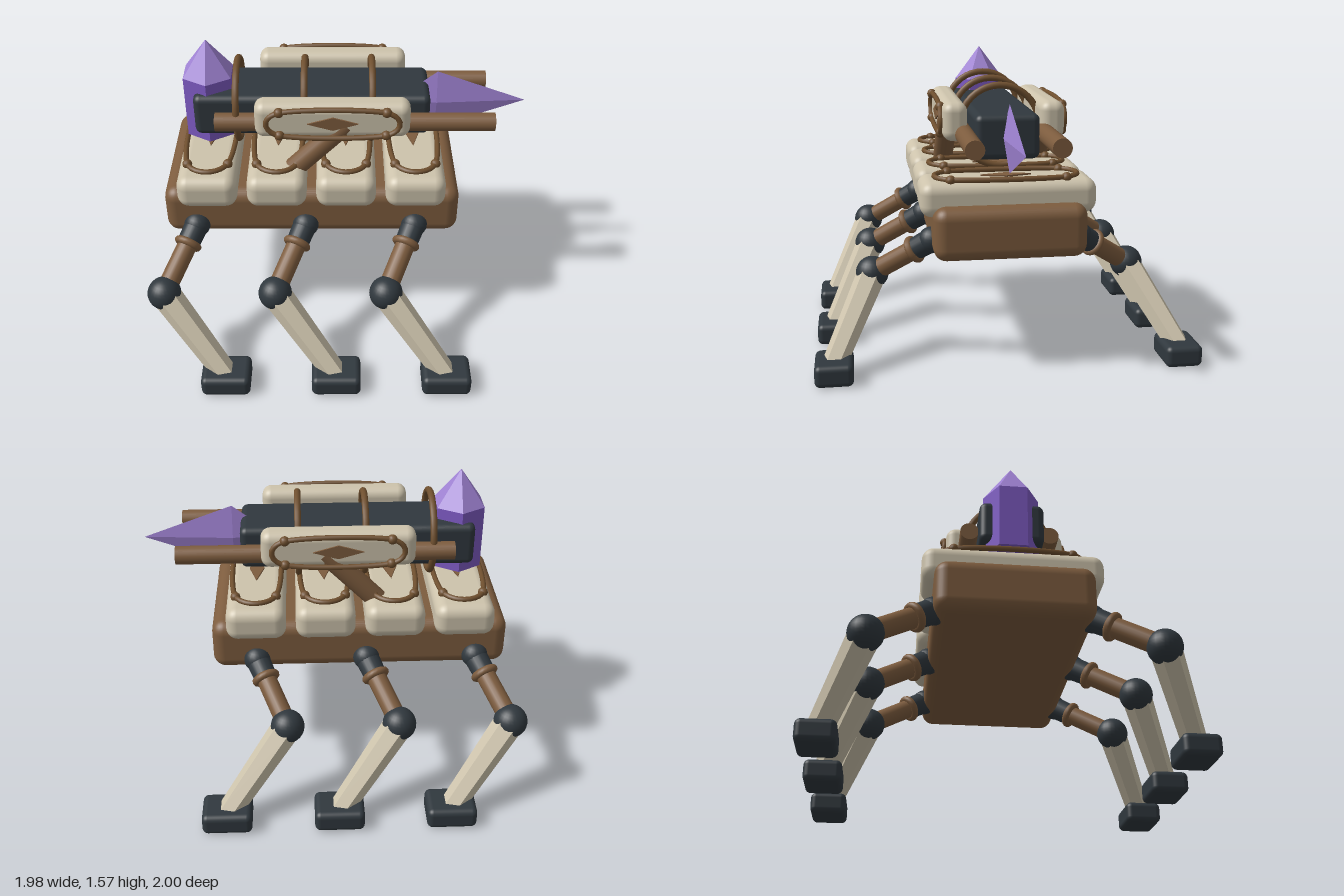
import * as THREE from 'three';
import { RoundedBoxGeometry } from 'three/addons/geometries/RoundedBoxGeometry.js';

const mat = (name, color, flatShading = false) => {
  const m = new THREE.MeshStandardMaterial({ color, flatShading });
  m.name = name;
  return m;
};

export function createModel() {
  const brown = mat('wood brown', 0x7d5c3e);
  const trim = mat('trim brown', 0x70502f);
  const cream = mat('cream', 0xcdc3ac);
  const creamFlat = mat('faceted cream', 0xcdc3ac, true);
  const dark = mat('dark slate', 0x30383e);
  const violet = mat('crystal violet', 0x7d5ac2, true);
  const lilac = mat('crystal lilac', 0xa083d4, true);

  const model = new THREE.Group();
  model.name = 'sixLeggedWalker';

  const add = (parent, name, geo, material, x = 0, y = 0, z = 0) => {
    const mesh = new THREE.Mesh(geo, material);
    mesh.name = name;
    mesh.position.set(x, y, z);
    parent.add(mesh);
    return mesh;
  };
  const box = (parent, name, size, r, material, pos) =>
    add(parent, name, new RoundedBoxGeometry(...size, 4, r), material, ...pos);

  // Cylinder running from a to b
  const rod = (parent, name, a, b, ra, rb, sides, material) => {
    const p = new THREE.Vector3(...a), q = new THREE.Vector3(...b);
    const d = q.clone().sub(p);
    const mesh = add(parent, name, new THREE.CylinderGeometry(rb, ra, d.length(), sides), material);
    mesh.position.copy(p).add(q).multiplyScalar(0.5);
    mesh.quaternion.setFromUnitVectors(new THREE.Vector3(0, 1, 0), d.normalize());
    return mesh;
  };

  // Rope loop, four studs and a diamond, lying in the XY plane facing +z
  const ornament = (w, h, dw, dh) => {
    const g = new THREE.Group();
    g.name = 'ornament';
    const corners = [[w, h], [-w, h], [-w, -h], [w, -h]];
    const path = new THREE.CatmullRomCurve3(
      corners.map(([x, y]) => new THREE.Vector3(x, y, 0)), true, 'catmullrom', 0.5);
    add(g, 'ropeLoop', new THREE.TubeGeometry(path, 64, 0.014, 8, true), trim, 0, 0, 0.006);
    for (const [x, y] of corners)
      add(g, 'stud', new THREE.SphereGeometry(0.026, 12, 8), trim, x, y, 0.004);
    const diamond = new THREE.Shape([[dw, 0], [0, dh], [-dw, 0], [0, -dh]]
      .map(([x, y]) => new THREE.Vector2(x, y)));
    add(g, 'diamond', new THREE.ExtrudeGeometry(diamond, { depth: 0.008, bevelEnabled: false }), brown);
    return g;
  };

  // Body and cushions
  box(model, 'body', [1.55, 0.275, 0.78], 0.065, brown, [-0.145, 0.738, 0]);
  for (let i = 0; i < 4; i++) {
    const x = -0.685 + i * 0.36;
    box(model, 'cushion', [0.31, 0.18, 0.9], 0.06, cream, [x, 0.9, 0]);
    const o = ornament(0.105, 0.295, 0.04, 0.13);
    o.rotation.x = -Math.PI / 2;
    o.position.set(x, 0.992, 0);
    model.add(o);
  }

  // Upper hull with hoops
  box(model, 'hull', [1.225, 0.23, 0.33], 0.035, dark, [-0.142, 1.2, 0]);
  for (const x of [-0.53, -0.18, 0.17]) {
    const hoop = add(model, 'hoop', new THREE.TorusGeometry(0.213, 0.018, 10, 40), trim, x, 1.215, 0);
    hoop.rotation.y = Math.PI / 2;
  }

  // Upright crystal
  add(model, 'crystalColumn', new THREE.CylinderGeometry(0.143, 0.143, 0.345, 6), violet, -0.683, 1.203, 0);
  add(model, 'crystalTip', new THREE.ConeGeometry(0.143, 0.19, 6, 1, true), lilac, -0.683, 1.47, 0);

  // Blade crystal at the nose: two thin four-sided cones, base to base
  const blade = new THREE.Group();
  blade.name = 'crystalBlade';
  blade.position.set(0.515, 1.2, 0);
  blade.rotation.z = -Math.PI / 2;
  blade.scale.z = 0.17;
  add(blade, 'bladeFront', new THREE.ConeGeometry(0.175, 0.47, 4, 1, true), lilac, 0, 0.235, 0);
  add(blade, 'bladeBack', new THREE.ConeGeometry(0.175, 0.22, 4, 1, true), lilac, 0, -0.11, 0)
    .rotation.x = Math.PI;
  model.add(blade);

  // Rails, shields, struts and legs on both sides
  for (const s of [1, -1]) {
    rod(model, 'rail', [-0.64, 1.2, s * 0.208], [0.8, 1.2, s * 0.208], 0.048, 0.048, 20, brown);
    box(model, 'shield', [0.79, 0.2, 0.128], 0.05, cream, [-0.035, 1.262, s * 0.252]);
    const o = ornament(0.27, 0.068, 0.13, 0.038);
    o.position.set(-0.033, 1.262, s * 0.316);
    if (s < 0) o.rotation.y = Math.PI;
    model.add(o);
    rod(model, 'strut', [-0.25, 0.94, s * 0.27], [0.04, 1.235, s * 0.265], 0.055, 0.055, 16, brown);

    for (let i = 0; i < 3; i++) {
      const leg = new THREE.Group();
      leg.name = 'leg';
      leg.position.x = i * 0.576;
      const hip = [-0.755, 0.665, s * 0.385];
      const knee = [-0.91, 0.455, s * 0.692];
      const at = t => hip.map((v, k) => v + (knee[k] - v) * t);
      add(leg, 'hipJoint', new THREE.SphereGeometry(0.07, 20, 14), dark, ...hip);
      rod(leg, 'hipSocket', hip, at(0.27), 0.064, 0.06, 20, dark);
      rod(leg, 'upperLeg', at(0.25), knee, 0.052, 0.052, 20, brown);
      const collar = add(leg, 'collar', new THREE.TorusGeometry(0.055, 0.02, 10, 24), brown, ...at(0.29));
      collar.quaternion.setFromUnitVectors(new THREE.Vector3(0, 0, 1),
        new THREE.Vector3(...knee).sub(new THREE.Vector3(...hip)).normalize());
      add(leg, 'knee', new THREE.SphereGeometry(0.087, 24, 16), dark, ...knee);
      rod(leg, 'lowerLeg', knee, [-0.595, 0.07, s * 0.905], 0.078, 0.062, 6, creamFlat);
      box(leg, 'foot', [0.255, 0.115, 0.195], 0.03, dark, [-0.593, 0.0575, s * 0.9]);
      model.add(leg);
    }
  }
  return model;
}
